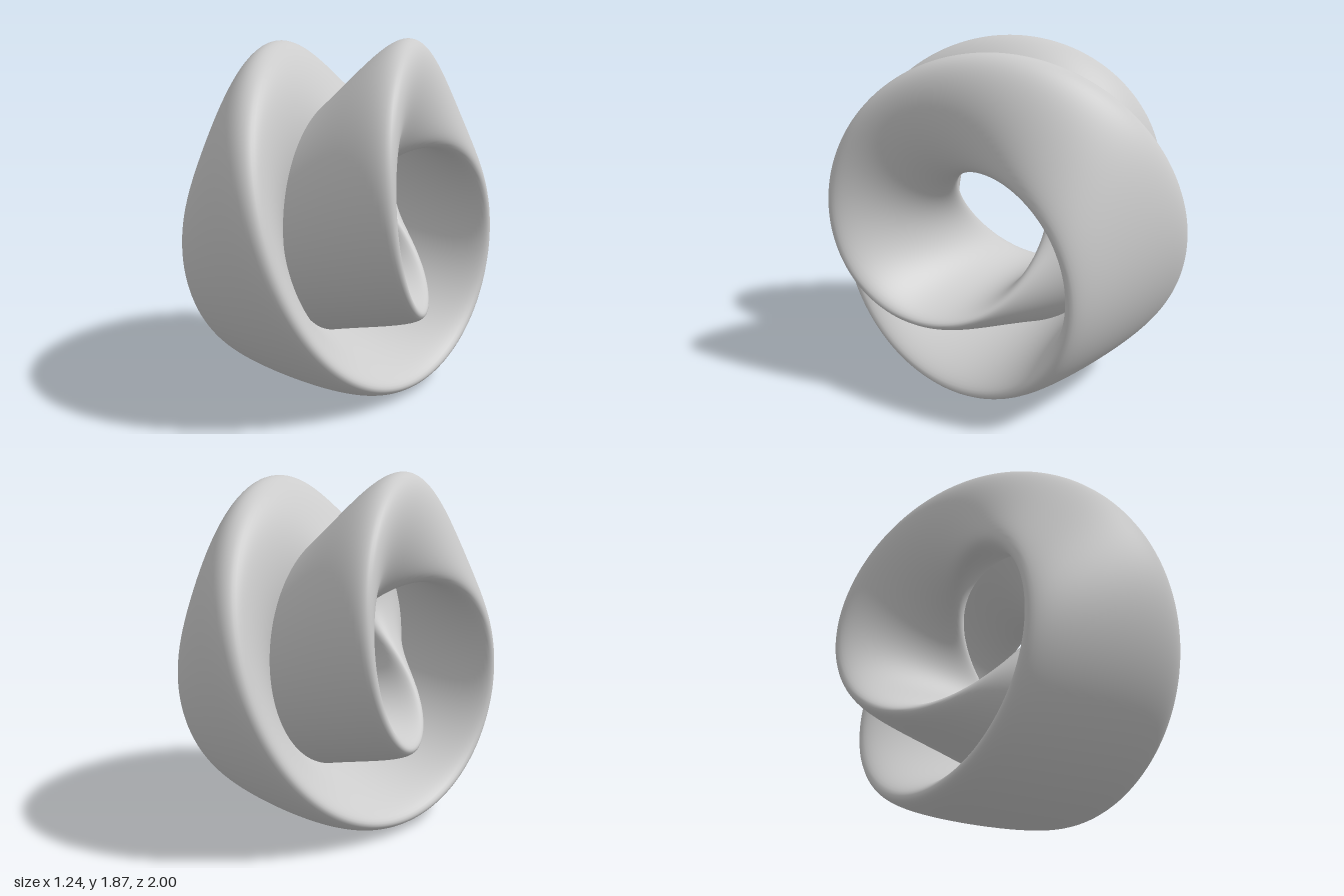
import * as THREE from 'three';
import { ParametricGeometry } from 'three/addons/geometries/ParametricGeometry.js';

const RING = 0.64;    // radius of the circle where the two lobes cross
const RADIAL = 0.29;  // section scale away from the ring axis
const AXIAL = 0.496;  // section scale along the ring axis (x)

// Figure-eight section swept round the x axis, making half a turn on the way
function twistedEight(s, t, target) {
  const theta = s * Math.PI * 2;
  const v = t * Math.PI * 2;
  const c = Math.cos(theta / 2), d = Math.sin(theta / 2);
  const p = Math.sin(v), q = Math.sin(2 * v);
  const radius = RING + RADIAL * (c * q - d * p);
  target.set(AXIAL * (c * p + d * q), radius * Math.cos(theta), radius * Math.sin(theta));
}

export function createModel() {
  const group = new THREE.Group();
  group.name = 'figureEightKleinSurface';

  // One-sided closed surface, so both sides are drawn
  const geometry = new ParametricGeometry(twistedEight, 200, 120);
  geometry.computeBoundingBox();
  geometry.translate(0, -geometry.boundingBox.min.y, 0);
  const material = new THREE.MeshStandardMaterial({ color: 0xcccccc, side: THREE.DoubleSide });
  const mesh = new THREE.Mesh(geometry, material);
  mesh.name = 'twistedRing';
  group.add(mesh);
  return group;
}
